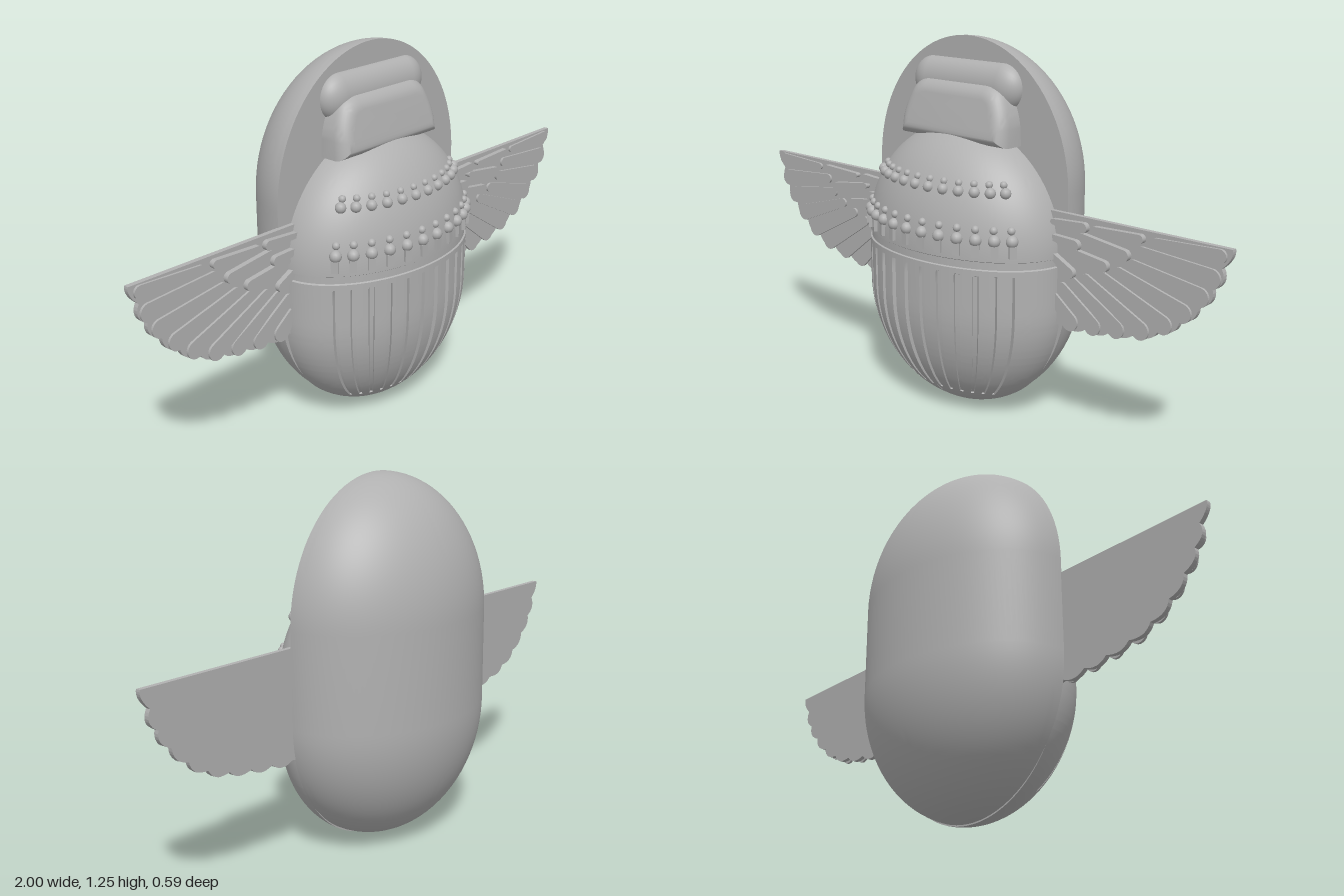
import * as THREE from 'three';
import { toCreasedNormals } from 'three/addons/utils/BufferGeometryUtils.js';

const stone = new THREE.MeshStandardMaterial({ color: 0xb0b0b0 });
stone.name = 'grey stone';
const rad = THREE.MathUtils.degToRad;

const BODY = { cx: -0.008, z0: 0.02, rx: 0.397, rz: 0.26, y0: 0, ya: 0.4, yb: 0.58, y1: 0.965 };
const SHELL = { cx: -0.008, z0: 0.02, rx: 0.421, rz: -0.32, y0: 0.005, ya: 0.46, yb: 0.78, y1: 1.245 };

// Width factor of a dome at height y: elliptical ends, straight middle
function spread(d, y) {
  const k = y < d.ya ? (d.ya - y) / (d.ya - d.y0) : y > d.yb ? (y - d.yb) / (d.y1 - d.yb) : 0;
  return Math.sqrt(Math.max(0, 1 - k * k));
}

function domePoint(d, t, y, grow = 1) {
  const s = spread(d, y) * grow;
  return new THREE.Vector3(d.cx + d.rx * s * Math.sin(t), y, d.z0 + d.rz * s * Math.cos(t));
}

// Half capsule with a flat back; relief(t, y) scales the surface for carved lines
function dome(d, extraT = [], extraY = [], relief = () => 1) {
  const ts = [...extraT], ys = [...extraY];
  for (let i = 0; i <= 64; i++) ts.push(-Math.PI / 2 + (Math.PI * i) / 64);
  for (let i = 0; i <= 24; i++) {
    const c = Math.cos((i / 24) * Math.PI / 2);
    ys.push(d.ya - (d.ya - d.y0) * c, d.yb + (d.y1 - d.yb) * c);
  }
  const sorted = (a) => a.sort((p, q) => p - q).filter((v, i) => i === 0 || v - a[i - 1] > 1e-5);
  const cols = sorted(ts), rows = sorted(ys), n = cols.length;
  const pos = [], idx = [];
  for (const y of rows) for (const t of cols) pos.push(...domePoint(d, t, y, relief(t, y)).toArray());
  const quad = (a, b, c, e) => (d.rz > 0 ? idx.push(a, b, c, a, c, e) : idx.push(a, c, b, a, e, c));
  for (let j = 0; j < rows.length - 1; j++) {
    const a = j * n, b = a + n;
    for (let i = 0; i < n - 1; i++) quad(a + i, a + i + 1, b + i + 1, b + i);
    quad(a + n - 1, a, b, b + n - 1);
  }
  const geo = new THREE.BufferGeometry();
  geo.setAttribute('position', new THREE.Float32BufferAttribute(pos, 3));
  geo.setIndex(idx);
  return toCreasedNormals(geo, 0.6);
}

function add(parent, name, geo, x = 0, y = 0, z = 0) {
  const mesh = new THREE.Mesh(geo, stone);
  mesh.name = name;
  mesh.position.set(x, y, z);
  parent.add(mesh);
  return mesh;
}

const plate = (shape, depth) => new THREE.ExtrudeGeometry(shape, { depth, bevelEnabled: false, curveSegments: 8 });

// Tapered feather with rounded ends, from root to tip
function featherShape([x0, y0, x1, y1, w]) {
  const a = Math.atan2(y1 - y0, x1 - x0), r = w * 0.55;
  const s = new THREE.Shape();
  s.absarc(x1 - Math.cos(a) * w, y1 - Math.sin(a) * w, w, a - Math.PI / 2, a + Math.PI / 2);
  s.absarc(x0 + Math.cos(a) * r, y0 + Math.sin(a) * r, r, a + Math.PI / 2, a + Math.PI * 1.5);
  s.closePath();
  return s;
}

// Feather tips along the scalloped wing edge, and the matching roots
const TIPS = [[0.985, 0.705], [0.97, 0.63], [0.935, 0.565], [0.88, 0.5], [0.815, 0.445],
  [0.735, 0.405], [0.645, 0.385], [0.555, 0.37], [0.465, 0.36]];
const ROOTS = [[0.74, 0.705], [0.69, 0.667], [0.66, 0.622], [0.61, 0.59], [0.55, 0.565],
  [0.49, 0.545], [0.44, 0.525], [0.4, 0.5], [0.37, 0.46]];
const COVERTS = [[0.53, 0.705, 0.715, 0.705, 0.014], [0.37, 0.7, 0.51, 0.7, 0.016],
  [0.48, 0.675, 0.665, 0.64, 0.018], [0.37, 0.65, 0.48, 0.635, 0.018],
  [0.41, 0.625, 0.59, 0.59, 0.018], [0.37, 0.595, 0.46, 0.535, 0.018]];

function wing(side) {
  const g = new THREE.Group();
  g.name = side > 0 ? 'leftWing' : 'rightWing';
  // Base plate with one scallop per feather
  const s = new THREE.Shape();
  s.moveTo(0.34, 0.73);
  s.lineTo(1, 0.73);
  TIPS.forEach(([x, y], i) => {
    const [nx, ny] = TIPS[i + 1] || [0.37, 0.352];
    const mx = (x + nx) / 2, my = (y + ny) / 2;
    const out = new THREE.Vector2(x - 0.45, y - 0.75).normalize().multiplyScalar(0.014);
    s.quadraticCurveTo(x + out.x * 1.6, y + out.y * 1.6, mx - out.x * 0.6, my - out.y * 0.6);
  });
  s.lineTo(0.34, 0.35);
  s.closePath();
  add(g, 'wingPlate', plate(s, 0.017), 0, 0, 0.018);
  TIPS.forEach((tip, i) => {
    const f = [...ROOTS[i], ...tip, i === 0 ? 0.021 : 0.03];
    add(g, 'flightFeather', plate(featherShape(f), 0.009), 0, 0, 0.034);
  });
  for (const f of COVERTS) add(g, 'covertFeather', plate(featherShape(f), 0.019), 0, 0, 0.034);
  // Mirror by rule, flipping the winding so faces stay outward
  if (side < 0) {
    for (const m of g.children) {
      const p = m.geometry.attributes.position;
      for (let i = 0; i < p.count; i += 3) {
        const v = [0, 2, 1].map((k) => [-p.getX(i + k), p.getY(i + k), p.getZ(i + k)]);
        v.forEach((c, k) => p.setXYZ(i + k, ...c));
      }
      m.geometry.computeVertexNormals();
    }
  }
  return g;
}

export function createModel() {
  const model = new THREE.Group();
  model.name = 'wingedBeetle';
  add(model, 'backShell', dome(SHELL));

  // Body with carved wing-case grooves, a waist line and a short lower seam
  const angles = Array.from({ length: 12 }, (_, i) => rad(-55 + 10 * i));
  const half = rad(1.3), lip = rad(0.25);
  const extraT = [-lip * 3, -lip, lip, lip * 3];
  for (const a of angles) extraT.push(a - half - lip, a - half, a + half, a + half + lip);
  const extraY = [0.08, 0.084, 0.525, 0.53, 0.548, 0.551, 0.575, 0.578];
  for (let y = 0.1; y < 0.52; y += 0.03) extraY.push(y);
  const relief = (t, y) => {
    if (y > 0.55 && y < 0.576) return 0.982;
    if (y > 0.082 && y < 0.527 && angles.some((a) => Math.abs(t - a) < half + lip / 2)) return 0.955;
    if (y > 0.002 && y < 0.081 && Math.abs(t) < lip * 2) return 0.93;
    return 1;
  };
  add(model, 'body', dome(BODY, extraT, extraY, relief));

  // Two rows of paired beads, the lower row with short stems
  const bead = new THREE.SphereGeometry(1, 14, 10);
  for (const a of angles) {
    for (const [y, r] of [[0.645, 0.02], [0.678, 0.013], [0.787, 0.018], [0.811, 0.012]]) {
      const p = domePoint(BODY, a, y);
      add(model, 'bead', bead, p.x, p.y, p.z).scale.setScalar(r);
    }
    const q = domePoint(BODY, a, 0.612);
    add(model, 'beadStem', new THREE.BoxGeometry(0.024, 0.04, 0.02), q.x, q.y, q.z).rotation.y = a;
  }

  // Head: leaning rounded trapezoid
  const s = new THREE.Shape();
  s.moveTo(-0.182, 0.955);
  s.lineTo(0.182, 0.955);
  s.quadraticCurveTo(0.18, 1.0, 0.155, 1.045);
  s.quadraticCurveTo(0.145, 1.06, 0.12, 1.06);
  s.lineTo(-0.12, 1.06);
  s.quadraticCurveTo(-0.145, 1.06, -0.155, 1.045);
  s.quadraticCurveTo(-0.18, 1.0, -0.182, 0.955);
  const head = new THREE.ExtrudeGeometry(s, {
    depth: 0.06, bevelSize: 0.045, bevelThickness: 0.045, bevelSegments: 8, curveSegments: 8,
  });
  const p = head.attributes.position;
  for (let i = 0; i < p.count; i++) {
    p.setZ(i, p.getZ(i) - 0.025 - Math.max(0, p.getY(i) - 0.94) * 0.2);
  }
  add(model, 'head', toCreasedNormals(head, 0.8), -0.009, 0, 0.045);

  // Crest above the head
  const crest = new THREE.CapsuleGeometry(0.077, 0.31, 12, 28);
  crest.rotateZ(Math.PI / 2);
  add(model, 'headCrest', crest, -0.008, 1.092, 0.015).scale.z = 0.72;

  model.add(wing(1), wing(-1));
  return model;
}
